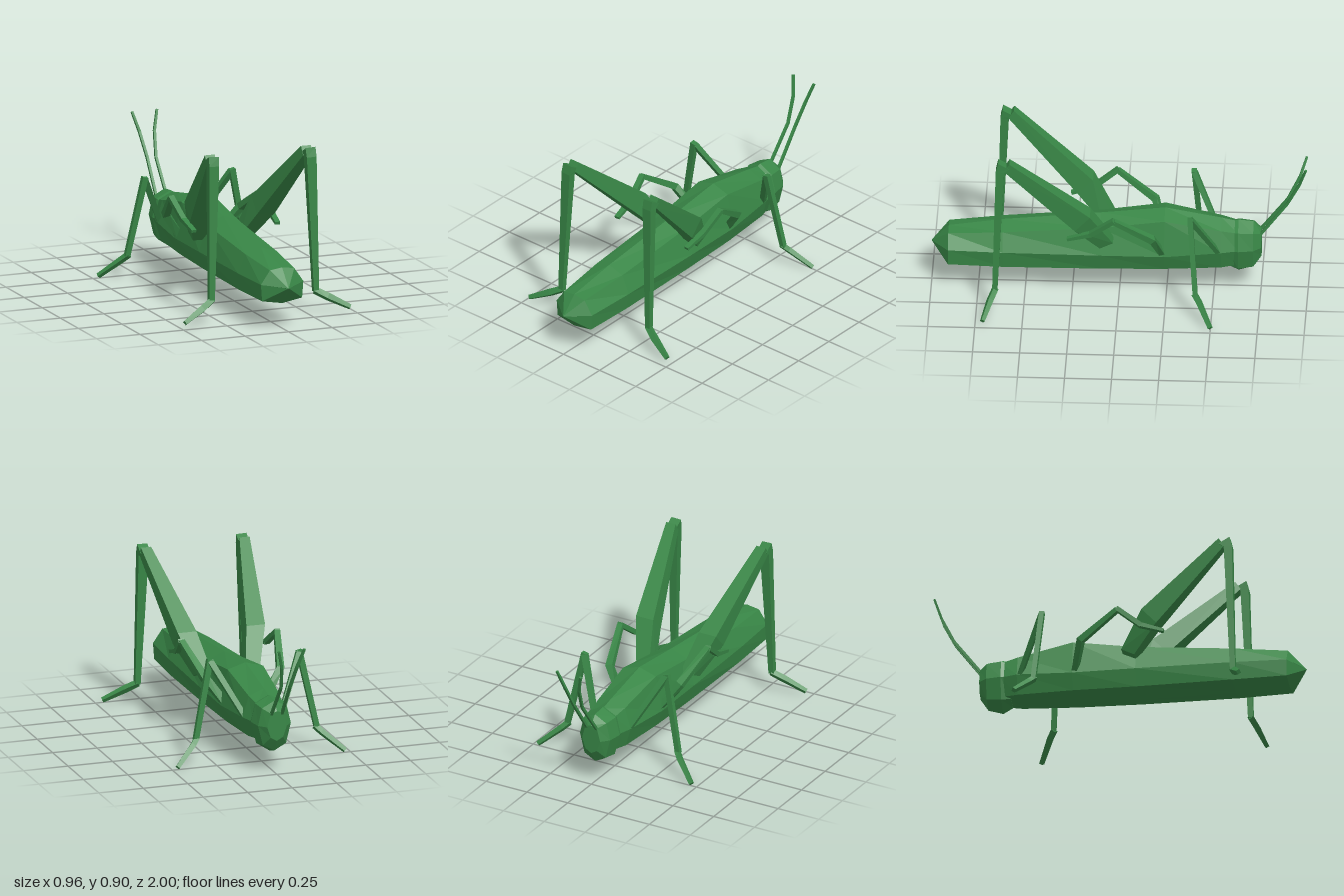
import * as THREE from 'three';

const green = new THREE.MeshStandardMaterial({ color: 0x388646 });
green.name = 'leaf green';

// Faceted closed skin over rings of [x, y, z] points, always facing outwards
function loft(name, rings) {
  const n = rings[0].length;
  const tris = [];
  for (let r = 0; r < rings.length - 1; r++) {
    for (let i = 0; i < n; i++) {
      const j = (i + 1) % n;
      const a = rings[r][i], b = rings[r][j], c = rings[r + 1][j], d = rings[r + 1][i];
      tris.push([a, b, c], [a, c, d]);
    }
  }
  const first = rings[0], last = rings[rings.length - 1];
  for (let i = 1; i < n - 1; i++) {
    tris.push([first[0], first[i + 1], first[i]], [last[0], last[i], last[i + 1]]);
  }
  // Signed volume tells whether the corners run the wrong way round
  const v = (p) => new THREE.Vector3(...p);
  let volume = 0;
  for (const [a, b, c] of tris) volume += v(a).dot(v(b).cross(v(c)));
  if (volume < 0) tris.forEach((t) => t.reverse());
  const geometry = new THREE.BufferGeometry();
  geometry.setAttribute('position', new THREE.Float32BufferAttribute(tris.flat(2), 3));
  geometry.computeVertexNormals();
  const mesh = new THREE.Mesh(geometry, green);
  mesh.name = name;
  return mesh;
}

// Mirrored eight-sided section: top, shoulder, side, lower edge, bottom
const section = ([z, top, sx, sy, mx, my, lx, ly, bottom]) => [
  [0, top, z], [sx, sy, z], [mx, my, z], [lx, ly, z],
  [0, bottom, z], [-lx, ly, z], [-mx, my, z], [-sx, sy, z],
];

// Four-sided limb through joints [x, y, z, half width, half depth]
function limb(name, joints, side) {
  const points = joints.map(([x, y, z]) => new THREE.Vector3(x * side, y, z));
  const axisX = new THREE.Vector3(side, 0, 0);
  const rings = joints.map(([, , , w, d], i) => {
    const before = points[Math.max(i - 1, 0)];
    const after = points[Math.min(i + 1, points.length - 1)];
    const along = after.clone().sub(before).normalize();
    const deep = along.clone().cross(axisX).normalize();
    const wide = deep.clone().cross(along).normalize();
    return [[1, 1], [-1, 1], [-1, -1], [1, -1]].map(([a, b]) =>
      points[i].clone().addScaledVector(wide, a * w).addScaledVector(deep, b * d).toArray());
  });
  return loft(name, rings);
}

// Limbs of one side
const limbs = {
  antenna: [
    [0.03, 0.33, -0.74, 0.007, 0.007], [0.025, 0.53, -0.89, 0.007, 0.007],
    [0.043, 0.66, -0.955, 0.007, 0.007], [0.072, 0.765, -0.99, 0.006, 0.006],
  ],
  frontThigh: [[0.1, 0.26, -0.53, 0.014, 0.012], [0.25, 0.55, -0.385, 0.016, 0.014]],
  frontShin: [[0.25, 0.56, -0.383, 0.016, 0.014], [0.34, 0.13, -0.415, 0.014, 0.013]],
  frontFoot: [
    [0.33, 0.14, -0.41, 0.014, 0.013], [0.36, 0.11, -0.435, 0.014, 0.013],
    [0.47, 0.015, -0.5, 0.011, 0.01],
  ],
  middleThigh: [
    [0.12, 0.27, -0.225, 0.02, 0.015], [0.215, 0.4, -0.18, 0.02, 0.018],
    [0.268, 0.54, 0.025, 0.016, 0.012],
  ],
  middleShin: [[0.27, 0.545, 0.02, 0.016, 0.012], [0.25, 0.445, 0.15, 0.015, 0.013]],
  middleFoot: [[0.25, 0.45, 0.14, 0.016, 0.012], [0.24, 0.41, 0.27, 0.014, 0.008]],
  hindShin: [
    [0.278, 0.885, 0.605, 0.029, 0.034], [0.28, 0.85, 0.625, 0.028, 0.022],
    [0.3, 0.12, 0.652, 0.015, 0.014],
  ],
  hindFoot: [
    [0.295, 0.125, 0.65, 0.015, 0.014], [0.36, 0.09, 0.675, 0.017, 0.014],
    [0.475, 0.03, 0.71, 0.011, 0.01],
  ],
};

// Hind thigh: inner and outer x, then upper and lower edge as y, z
const thighRings = [
  [0.095, 0.175, 0.35, 0.03, 0.315, 0.1],
  [0.14, 0.245, 0.545, 0.15, 0.46, 0.23],
  [0.248, 0.305, 0.9, 0.575, 0.855, 0.605],
];

export function createModel() {
  const model = new THREE.Group();
  model.name = 'grasshopper';

  // Abdomen and thorax from pointed tail to neck
  model.add(loft('body', [
    [1, 0.242, 0.002, 0.241, 0.003, 0.24, 0.002, 0.239, 0.238],
    [0.91, 0.335, 0.07, 0.325, 0.122, 0.25, 0.115, 0.16, 0.14],
    [0.62, 0.38, 0.09, 0.35, 0.134, 0.25, 0.12, 0.155, 0.135],
    [0.1, 0.435, 0.095, 0.395, 0.14, 0.25, 0.115, 0.155, 0.13],
    [-0.24, 0.475, 0.1, 0.445, 0.14, 0.25, 0.11, 0.16, 0.132],
    [-0.54, 0.42, 0.085, 0.385, 0.12, 0.27, 0.09, 0.165, 0.14],
    [-0.63, 0.4, 0.07, 0.365, 0.095, 0.27, 0.065, 0.17, 0.14],
  ].map(section)));

  // Rounded head
  model.add(loft('head', [
    [-0.58, 0.395, 0.065, 0.36, 0.09, 0.27, 0.055, 0.16, 0.135],
    [-0.63, 0.41, 0.08, 0.37, 0.105, 0.27, 0.075, 0.15, 0.1],
    [-0.71, 0.402, 0.07, 0.365, 0.092, 0.27, 0.065, 0.16, 0.125],
    [-0.752, 0.355, 0.035, 0.345, 0.055, 0.27, 0.035, 0.21, 0.19],
  ].map(section)));

  // Legs and antennae on both sides
  for (const [label, side] of [['left', 1], ['right', -1]]) {
    const group = new THREE.Group();
    group.name = `${label}Limbs`;
    for (const [name, joints] of Object.entries(limbs)) group.add(limb(name, joints, side));
    group.add(loft('hindThigh', thighRings.map(([inner, outer, uy, uz, ly, lz]) => [
      [inner * side, uy, uz], [outer * side, uy, uz],
      [outer * side, ly, lz], [inner * side, ly, lz],
    ])));
    model.add(group);
  }
  return model;
}
